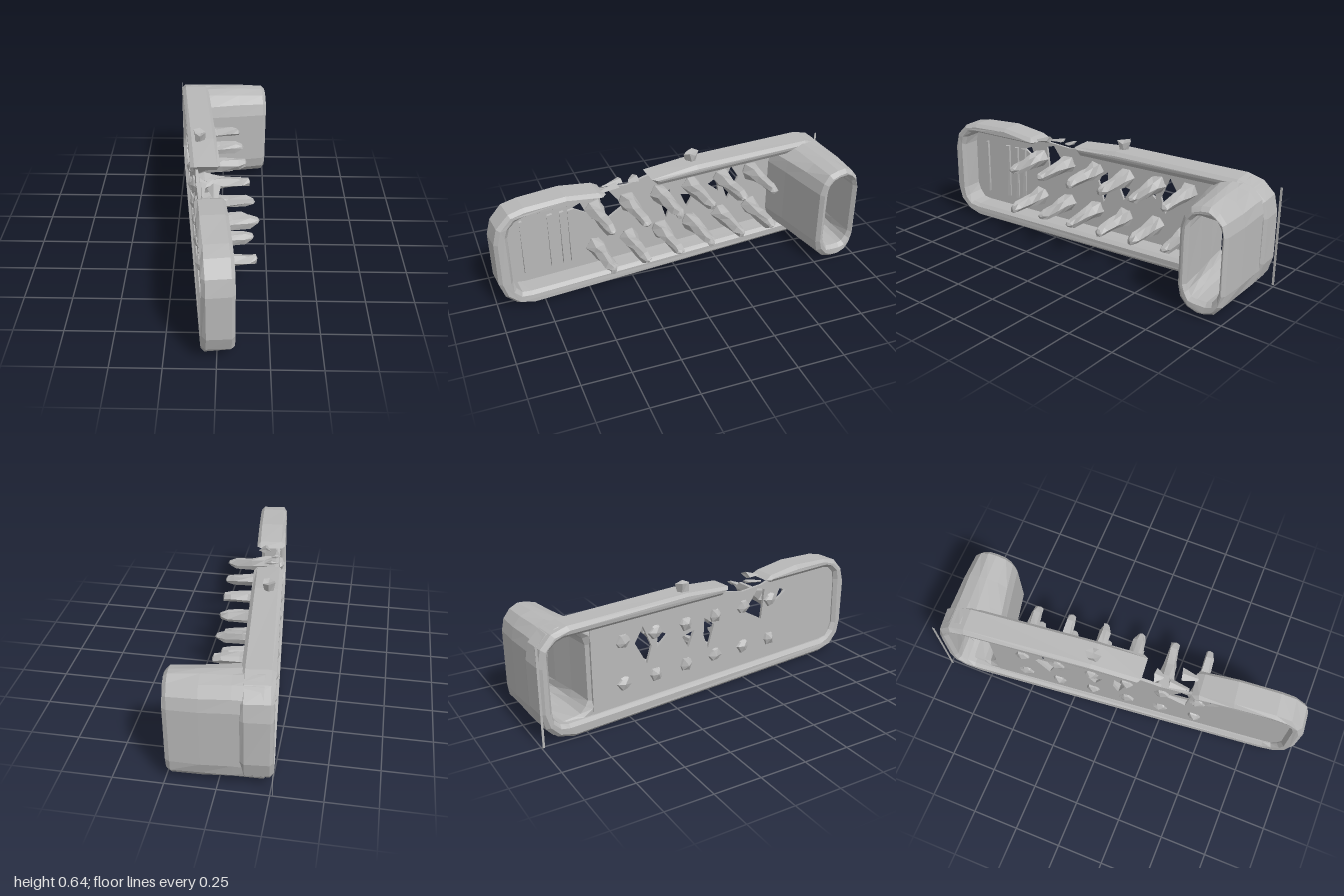
import * as THREE from 'three';

const grey = new THREE.MeshStandardMaterial({ color: 0xb8b8b8, flatShading: true, side: THREE.DoubleSide });
grey.name = 'plain grey';

const BACK = -0.165, FACE = -0.01, TIP = 0.337; // tray sides and sleeve end, along the tray's own x

// Corner points of a rounded rectangle, counter-clockwise from the top left corner
function roundedRect(z0, z1, y0, y1, r, steps = 3) {
  const pts = [];
  const corners = [[z0 + r, y1 - r], [z0 + r, y0 + r], [z1 - r, y0 + r], [z1 - r, y1 - r]];
  corners.forEach(([z, y], k) => {
    for (let i = 0; i <= steps; i++) {
      const a = Math.PI / 2 * (1 + k + i / steps);
      pts.push(new THREE.Vector2(z + r * Math.cos(a), y + r * Math.sin(a)));
    }
  });
  return pts;
}

const toPoints = list => list.map(([z, y]) => new THREE.Vector2(z, y));

// Extrude a (z, y) outline along x, from x0 to x1
function slab(outline, holes, x0, x1, bevel = 0, steps = 1) {
  const shape = new THREE.Shape(outline);
  holes.forEach(h => shape.holes.push(new THREE.Path(h)));
  const geo = new THREE.ExtrudeGeometry(shape, {
    depth: x1 - x0 - 2 * bevel, steps, bevelEnabled: bevel > 0,
    bevelSize: bevel, bevelThickness: bevel, bevelOffset: -bevel, bevelSegments: 1,
  });
  geo.rotateY(-Math.PI / 2);
  return geo.translate(x1 - bevel, 0, 0);
}

// Shift every vertex by a rule of its position, for a hand-hewn surface
function rough(geo, amount, seed = 0) {
  const p = geo.attributes.position;
  for (let i = 0; i < p.count; i++) {
    const x = p.getX(i), y = p.getY(i), z = p.getZ(i);
    const n = k => amount * Math.sin(x * 61 + y * 83 + z * 47 + k * 2.1 + seed);
    p.setXYZ(i, x + n(0) * 0.5, y + n(1), z + n(2));
  }
  geo.computeVertexNormals();
  return geo;
}

export function createModel() {
  const model = new THREE.Group();
  model.name = 'peggedTray';
  const body = new THREE.Group();
  body.name = 'tiltedBody';
  body.rotation.y = 0.1;
  model.add(body);
  const add = (name, geo) => {
    const mesh = new THREE.Mesh(geo, grey);
    mesh.name = name;
    body.add(mesh);
    return mesh;
  };

  // Rim all round the tray, broken open along the top
  const outer = roundedRect(-1.01, 0.985, 0.01, 0.59, 0.17);
  const inner = roundedRect(-0.953, 0.912, 0.084, 0.537, 0.09).reverse();
  const rim = [
    ...toPoints([[0.12, 0.575], [-0.15, 0.6]]), ...outer,
    ...toPoints([[0.6, 0.595], [0.42, 0.575], [0.38, 0.55], [0.41, 0.535]]), ...inner,
    ...toPoints([[0.08, 0.537]]),
  ];
  add('rim', rough(slab(rim, [], BACK, FACE, 0.018), 0.003));

  // Splinters left in the break
  [[0.36, 0.565, -0.06, 0.1, 0.07], [0.2, 0.565, -0.1, 0.05, 0.08], [0.31, 0.555, -0.12, 0.1, 0.05]]
    .forEach(([z, y, x, len, wide], i) => {
      const geo = new THREE.CylinderGeometry(0.004, 0.014, len, 4).rotateX(Math.PI / 2 + 0.15);
      geo.scale(wide / 0.028, 1, 1);
      add('splinter', rough(geo, 0.006, i)).position.set(x, y, z);
    });

  // Thin back panel with torn holes
  const tears = [
    [[0.38, 0.5], [0.36, 0.33], [0.24, 0.4], [0.29, 0.46], [0.33, 0.515]],
    [[0.03, 0.38], [-0.035, 0.43], [-0.04, 0.33], [-0.01, 0.25]],
    [[-0.1, 0.38], [-0.18, 0.36], [-0.14, 0.29]],
    [[-0.27, 0.4], [-0.33, 0.43], [-0.34, 0.34]],
    [[-0.4, 0.27], [-0.37, 0.36], [-0.42, 0.48], [-0.47, 0.4]],
    [[0.54, 0.46], [0.49, 0.48], [0.46, 0.41]],
  ].map(toPoints);
  const panel = toPoints([[-0.72, 0.07], [0.86, 0.07], [0.93, 0.15], [0.93, 0.47], [0.86, 0.55],
    [0.42, 0.55], [0.36, 0.53], [0.22, 0.52], [0.08, 0.55], [-0.72, 0.55]]);
  add('panel', slab(panel, tears, -0.14, -0.125));

  // Faint ribs on the panel near the front end
  [[0.55, 0.03], [0.6, 0.02], [0.665, 0.025], [0.82, 0.012]].forEach(([z, w]) => {
    add('rib', rough(new THREE.BoxGeometry(0.014, 0.32, w), 0.004, z)).position.set(-0.121, 0.3, z);
  });

  // Tapered sleeve at the back end, open through both sides, its front wall thickest at the tray
  const sleeve = slab(
    roundedRect(-1.002, -0.69, 0.016, 0.584, 0.13),
    [roundedRect(-0.957, -0.745, 0.09, 0.53, 0.07)], -0.137, TIP, 0.02, 3);
  const p = sleeve.attributes.position;
  for (let i = 0; i < p.count; i++) {
    const t = (p.getX(i) - BACK) / (TIP - BACK);
    const z = p.getZ(i);
    const swell = 0.035 * (1 - t) * THREE.MathUtils.clamp((z + 0.76) / 0.06, 0, 1);
    p.setZ(i, -0.85 + (z + 0.85) * (1 - 0.23 * t) + swell);
    p.setY(i, 0.295 - 0.008 * t + (p.getY(i) - 0.295) * (1 - 0.03 * t));
  }
  add('sleeve', rough(sleeve, 0.003));

  // Two rows of tapered pegs, standing through the panel
  const profile = toPoints([[0, -0.165], [0.035, -0.15], [0.052, -0.115], [0.04, -0.05],
    [0.033, 0.02], [0.029, 0.11], [0.019, 0.148], [0, 0.157]]);
  for (let i = 0; i < 6; i++) {
    for (const y of [0.43, 0.2]) {
      const geo = new THREE.LatheGeometry(profile, 6).rotateZ(-Math.PI / 2);
      const peg = add('peg', rough(geo, 0.006, i * 1.7 + y * 9));
      peg.position.set(0, y, 0.42 - 0.192 * i);
    }
  }

  // Small nub on the top edge
  const nub = rough(new THREE.CylinderGeometry(0.036, 0.03, 0.05, 6), 0.008);
  add('nub', nub).position.set(-0.1, 0.613, -0.15);

  // Thin sliver along the back corner
  const sliver = new THREE.BoxGeometry(0.002, 0.53, 0.012);
  add('sliver', sliver).position.set(-0.163, 0.275, -1.013);

  return model;
}
